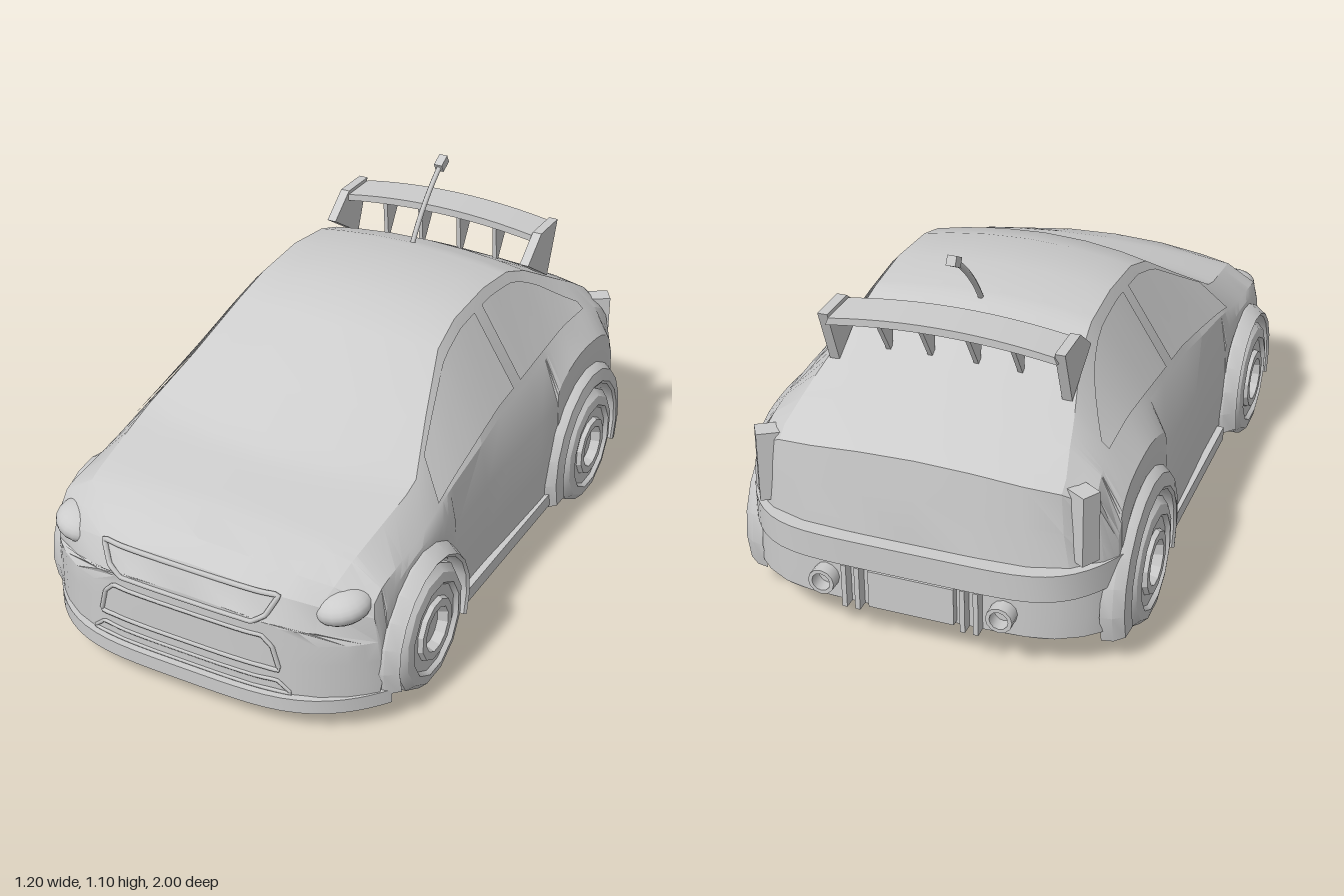
import * as THREE from 'three';
import { toCreasedNormals } from 'three/addons/utils/BufferGeometryUtils.js';

const mat = new THREE.MeshStandardMaterial({ color: 0xcccccc });
const thin = new THREE.MeshStandardMaterial({ color: 0xcccccc, side: THREE.DoubleSide });
const lerp = THREE.MathUtils.lerp;
const AXLE = 0.575, HUB = 0.19, WELL = 0.215;

// z, side half-width, belt x, belt y, roof/hood edge x, edge y, centre-line y
const STATIONS = [
  [0.975, 0.55, 0.54, 0.29, 0.40, 0.335, 0.36], [0.945, 0.55, 0.53, 0.37, 0.40, 0.41, 0.445],
  [0.89, 0.55, 0.525, 0.41, 0.42, 0.455, 0.495], [0.76, 0.55, 0.53, 0.45, 0.44, 0.51, 0.54],
  [0.54, 0.55, 0.53, 0.48, 0.46, 0.575, 0.585], [0.34, 0.55, 0.525, 0.525, 0.40, 0.69, 0.70],
  [0.14, 0.55, 0.52, 0.555, 0.345, 0.81, 0.83], [-0.02, 0.555, 0.51, 0.575, 0.335, 0.85, 0.88],
  [-0.235, 0.56, 0.505, 0.59, 0.335, 0.865, 0.893], [-0.41, 0.56, 0.50, 0.605, 0.335, 0.845, 0.872],
  [-0.53, 0.56, 0.495, 0.615, 0.345, 0.80, 0.83], [-0.72, 0.56, 0.49, 0.61, 0.39, 0.695, 0.73],
  [-0.88, 0.56, 0.50, 0.56, 0.42, 0.61, 0.64], [-0.925, 0.56, 0.51, 0.53, 0.42, 0.58, 0.61],
  [-0.94, 0.56, 0.52, 0.42, 0.43, 0.46, 0.49], [-0.955, 0.56, 0.53, 0.31, 0.45, 0.335, 0.36],
];

function station(z) {
  const i = Math.max(0, Math.min(STATIONS.length - 2, STATIONS.findIndex((s) => s[0] <= z) - 1));
  const a = STATIONS[i], b = STATIONS[i + 1], t = (a[0] - z) / (a[0] - b[0]);
  return a.map((v, k) => lerp(v, b[k], t));
}

// Rounds the plan of the nose and tail
function planZ(z, x) {
  const u = Math.min(1, Math.abs(x) / 0.565);
  if (z > 0.8) return 0.8 + (z - 0.8) * (1 - u ** 4);
  if (z < -0.8) return -0.8 + (z + 0.8) * (1 - u ** 6);
  return z;
}

const floorAt = (z) => (z > 0.7 ? 0.075 : z < -0.7 ? 0.12 : 0.095);

// Half cross-section from floor centre, round the side, to the roof centre
function section(z, wellY = floorAt(z), squeeze = 1) {
  const [, W, bx, by, ex, ey, top] = station(z);
  const f = floorAt(z), y = (t) => lerp(wellY, by, t);
  const pts = [[0, f], [0.4, f], [0.4, wellY], [W - 0.01, wellY], [W, y(0.35)], [W - 0.005, y(0.7)], [bx, by]];
  for (const k of [1, 0.75, 0.4, 0]) pts.push([ex * k, top - (top - ey) * k * k]);
  const bow = Math.max(0, Math.min(1, (0.78 - z) / 0.24, (z + 0.1) / 0.24)) * 0.08;
  return pts.map(([x, py], i) => {
    const sx = x * squeeze;
    return new THREE.Vector3(sx, py, planZ(z, sx) - (i > 6 ? bow * (x / 0.45) ** 2 : 0));
  });
}

function bodyGeometry() {
  const cuts = STATIONS.map((s) => s[0]).filter((z) => Math.abs(Math.abs(z) - AXLE) > WELL).map((z) => [z, floorAt(z)]);
  for (const c of [AXLE, -AXLE]) {
    cuts.push([c + WELL, floorAt(c + WELL)]);
    for (let i = 0; i <= 14; i++) {
      const a = (i / 14) * Math.PI;
      cuts.push([c + WELL * Math.cos(a), HUB + WELL * Math.sin(a)]);
    }
    cuts.push([c - WELL, floorAt(c - WELL)]);
  }
  cuts.sort((a, b) => b[0] - a[0]);
  const squeezes = [0, 0.2, 0.4, 0.6, 0.75, 0.88, 0.95];
  const first = cuts[0], last = cuts[cuts.length - 1];
  const rings = [
    ...squeezes.map((s) => section(...first, s)),
    ...cuts.map((c) => section(...c)),
    ...squeezes.reverse().map((s) => section(...last, s)),
  ].map((h) => [...h, ...h.slice(1, -1).reverse().map((p) => new THREE.Vector3(-p.x, p.y, p.z))]);
  const n = rings[0].length, index = [];
  for (let j = 0; j < rings.length - 1; j++) for (let i = 0; i < n; i++) {
    const a = j * n + i, b = j * n + ((i + 1) % n);
    index.push(a, a + n, b + n, a, b + n, b);
  }
  const g = new THREE.BufferGeometry().setFromPoints(rings.flat());
  g.setIndex(index);
  return toCreasedNormals(g, 0.4);
}

// Side glass strip lying just proud of the body
function windowGeometry(side, z0, z1, topAt) {
  const pts = [], index = [], n = 10;
  for (let i = 0; i <= n; i++) {
    const s = section(lerp(z0, z1, i / n));
    for (const t of [0.08, topAt(i / n)]) {
      const p = s[6].clone().lerp(s[7], t);
      pts.push(new THREE.Vector3(side * (p.x + 0.005), p.y + 0.003, p.z));
    }
    if (i < n) index.push(2 * i, 2 * i + 2, 2 * i + 3, 2 * i, 2 * i + 3, 2 * i + 1);
  }
  const g = new THREE.BufferGeometry().setFromPoints(pts);
  g.setIndex(index);
  g.computeVertexNormals();
  return g;
}

// Upright plate drawn as (z, y) points, centred on x
function plate(points, thickness) {
  const shape = new THREE.Shape(points.map((p) => new THREE.Vector2(...p)));
  return new THREE.ExtrudeGeometry(shape, { depth: thickness, bevelEnabled: false })
    .translate(0, 0, -thickness / 2).rotateY(-Math.PI / 2);
}

// Horizontal slab with a rounded outer edge
function lip(dir, halfWidth, power, y, height) {
  const pts = [];
  for (let i = 0; i <= 32; i++) {
    const u = Math.sin((i / 16 - 1) * Math.PI / 2);
    pts.push(new THREE.Vector2(u * halfWidth, dir * (0.797 + 0.203 * (1 - Math.abs(u) ** power))));
  }
  const g = new THREE.ExtrudeGeometry(new THREE.Shape(pts), { depth: height, bevelEnabled: false });
  return toCreasedNormals(g.rotateX(Math.PI / 2).translate(0, y + height, 0), 0.5);
}

// Frame following the curved nose; takes the right half of its outline
function noseFrame(half, radius) {
  const corners = [...half, ...half.slice().reverse().map(([x, y]) => [-x, y])], pts = [];
  corners.forEach((a, i) => {
    const b = corners[(i + 1) % corners.length];
    for (let k = 0; k < 10; k++) {
      const x = lerp(a[0], b[0], k / 10), y = lerp(a[1], b[1], k / 10);
      const face = 0.975 - Math.max(0, y - 0.36) * 0.35;
      pts.push(new THREE.Vector3(x, y, planZ(face, x)));
    }
  });
  return new THREE.TubeGeometry(new THREE.CatmullRomCurve3(pts, true), 120, radius, 6, true);
}

// Profile of [radius, x] turned about the axle
function turned(profile, sides, start = 0, sweep = Math.PI * 2) {
  const g = new THREE.LatheGeometry(profile.map((p) => new THREE.Vector2(...p)), sides, start, sweep);
  return toCreasedNormals(g.rotateZ(-Math.PI / 2), 0.45);
}

export function createModel() {
  const car = new THREE.Group();
  car.name = 'rallyCar';
  const add = (name, geo, x = 0, y = 0, z = 0, m = mat) => {
    const mesh = new THREE.Mesh(geo, m);
    mesh.name = name;
    mesh.position.set(x, y, z);
    car.add(mesh);
    return mesh;
  };
  add('body', bodyGeometry());

  // Wheels and arch flares
  const R = HUB / Math.cos(Math.PI / 12);
  const wheel = turned([[0, 0.4], [R, 0.4], [R, 0.57], [0.175, 0.592], [0.145, 0.598], [0.135, 0.585],
    [0.1, 0.585], [0.095, 0.6], [0.07, 0.6], [0.06, 0.57], [0, 0.57]], 12, Math.PI / 12);
  for (const side of [1, -1]) {
    const turn = side > 0 ? 0 : Math.PI;
    for (const [end, z, outer] of [['front', AXLE, 0.25], ['rear', -AXLE, 0.285]]) {
      add(end + 'Wheel', wheel, 0, HUB, z).rotation.y = turn;
      const flare = turned([[WELL, 0.5], [WELL, 0.588], [0.225, 0.594], [outer - 0.02, 0.585], [outer, 0.555], [outer + 0.005, 0.52]],
        12, Math.PI - 0.38, Math.PI + 0.76);
      add(end + 'ArchFlare', flare, 0, HUB, z, thin).rotation.y = turn;
    }
    // Side glass, sill, lamps and exhaust
    add('doorWindow', windowGeometry(side, 0.44, -0.13, () => 0.9), 0, 0, 0, thin);
    add('quarterWindow', windowGeometry(side, -0.18, -0.7, (t) => 0.9 - 0.6 * t ** 4), 0, 0, 0, thin);
    add('sill', new THREE.BoxGeometry(0.03, 0.045, 0.64), side * 0.55, 0.118, -0.01);
    const head = add('headlight', new THREE.SphereGeometry(1, 20, 14), side * 0.43, 0.393, 0.835);
    head.scale.set(0.09, 0.052, 0.09);
    head.rotation.set(0, side * 0.5, side * 0.2);
    add('tailLamp', new THREE.BoxGeometry(0.08, 0.22, 0.06), side * 0.468, 0.48, -0.872).rotation.y = side * 0.55;
    const pipe = new THREE.LatheGeometry([[0.032, 0], [0.04, 0], [0.04, 0.1], [0.028, 0.1], [0.028, 0.02], [0, 0.02]]
      .map((p) => new THREE.Vector2(...p)), 12);
    add('exhaust', toCreasedNormals(pipe.rotateX(-Math.PI / 2), 0.6), side * 0.27, 0.19, -0.895);
    for (const x of [0.16, 0.2]) add('diffuserFin', new THREE.BoxGeometry(0.015, 0.14, 0.1), side * x, 0.19, -0.94);
    // Spoiler ends and struts
    add('spoilerEnd', plate([[-0.505, 0.83], [-0.6, 0.905], [-0.73, 0.905], [-0.665, 0.73]], 0.03), side * 0.352);
    for (const x of [0.07, 0.2]) add('spoilerStrut', plate([[-0.6, 0.905], [-0.71, 0.905], [-0.615, 0.75]], 0.014), side * x);
  }

  // Nose openings and bumpers
  add('upperGrille', noseFrame([[0.29, 0.43], [0.26, 0.37], [0.22, 0.34]], 0.008));
  add('lowerIntake', noseFrame([[0.25, 0.3], [0.28, 0.27], [0.3, 0.195]], 0.007));
  add('bumperSlot', noseFrame([[0.295, 0.155], [0.335, 0.12]], 0.006));
  add('frontSplitter', lip(1, 0.57, 4, 0.07, 0.045));
  add('rearBumper', lip(-1, 0.565, 6, 0.27, 0.085));
  add('diffuser', new THREE.BoxGeometry(0.26, 0.12, 0.1), 0, 0.19, -0.93);

  // Arched spoiler blade
  const blade = new THREE.Shape();
  blade.moveTo(-0.345, 0.872);
  blade.quadraticCurveTo(0, 0.925, 0.345, 0.872);
  blade.lineTo(0.335, 0.895);
  blade.quadraticCurveTo(0, 0.95, -0.335, 0.895);
  const bladeGeo = new THREE.ExtrudeGeometry(blade, { depth: 0.135, bevelEnabled: false, curveSegments: 12 });
  add('spoilerBlade', toCreasedNormals(bladeGeo, 0.5), 0, 0, -0.73);

  // Bent aerial
  const path = new THREE.QuadraticBezierCurve3(
    new THREE.Vector3(0, 0.865, -0.41), new THREE.Vector3(0, 0.98, -0.48), new THREE.Vector3(0, 1.066, -0.6));
  add('aerial', new THREE.TubeGeometry(path, 10, 0.009, 6));
  add('aerialTip', new THREE.BoxGeometry(0.028, 0.03, 0.045), 0, 1.072, -0.61).rotation.x = 0.5;
  return car;
}
